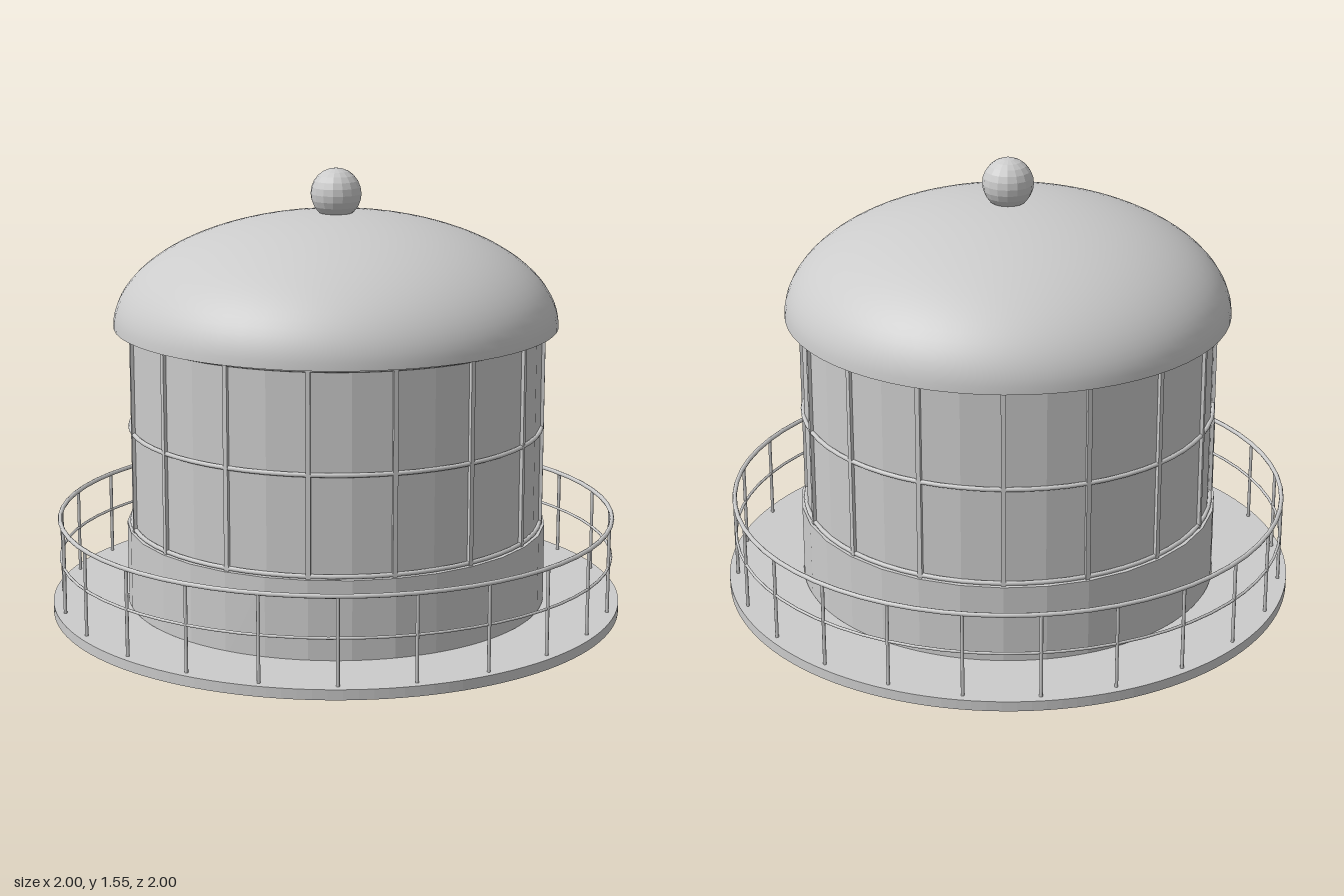
import * as THREE from 'three';

const smooth = new THREE.MeshStandardMaterial({ color: 0xcccccc });
const faceted = new THREE.MeshStandardMaterial({ color: 0xcccccc, flatShading: true });

export function createModel() {
  const model = new THREE.Group();

  const add = (name, geometry, y = 0, material = smooth, parent = model) => {
    const mesh = new THREE.Mesh(geometry, material);
    mesh.name = name;
    mesh.position.y = y;
    parent.add(mesh);
    return mesh;
  };
  const group = (name) => {
    const g = new THREE.Group();
    g.name = name;
    model.add(g);
    return g;
  };
  // Horizontal hoop around the y axis
  const hoop = (name, radius, tube, y, parent) =>
    add(name, new THREE.TorusGeometry(radius, tube, 8, 64).rotateX(Math.PI / 2), y, smooth, parent);
  // Upright bars spaced evenly around the y axis
  const uprights = (name, count, radius, geometry, y, parent) => {
    for (let i = 0; i < count; i++) {
      const a = (i / count) * Math.PI * 2;
      const bar = add(name, geometry, y, smooth, parent);
      bar.position.x = Math.sin(a) * radius;
      bar.position.z = Math.cos(a) * radius;
      bar.rotation.y = a;
    }
  };

  // Gallery deck: a flat ring around the base wall
  const ring = new THREE.Shape().absarc(0, 0, 1, 0, Math.PI * 2);
  ring.holes.push(new THREE.Path().absarc(0, 0, 0.735, 0, Math.PI * 2, true));
  const deck = new THREE.ExtrudeGeometry(ring, { depth: 0.035, bevelEnabled: false, curveSegments: 64 });
  add('galleryDeck', deck.rotateX(-Math.PI / 2));

  // Base wall and glazed drum
  add('baseWall', new THREE.CylinderGeometry(0.735, 0.735, 0.3, 32), 0.157, faceted);
  add('lanternGlass', new THREE.CylinderGeometry(0.715, 0.715, 0.7, 32), 0.655, faceted);

  // Window frame
  const frame = group('windowFrame');
  uprights('mullion', 16, 0.718, new THREE.BoxGeometry(0.016, 0.7, 0.016), 0.655, frame);
  for (const y of [0.315, 0.655, 1.0]) hoop('glazingRing', 0.718, 0.008, y, frame);

  // Railing
  const railing = group('railing');
  uprights('railPost', 24, 0.97, new THREE.CylinderGeometry(0.006, 0.006, 0.3, 8), 0.185, railing);
  hoop('topRail', 0.97, 0.008, 0.333, railing);
  hoop('middleRail', 0.97, 0.005, 0.195, railing);

  // Domed roof, its underside and the ball on top
  const arc = [];
  for (let i = 0; i <= 24; i++) {
    const a = (i / 24) * Math.PI / 2;
    arc.push(new THREE.Vector2(0.77 * Math.cos(a), 1.008 + 0.387 * Math.sin(a)));
  }
  arc[24].x = 0;
  add('domeRoof', new THREE.LatheGeometry(arc, 64));
  add('domeUnderside', new THREE.CircleGeometry(0.77, 64).rotateX(Math.PI / 2), 1.008);
  add('finialBall', new THREE.SphereGeometry(0.088, 16, 12), 1.46, faceted);

  return model;
}
